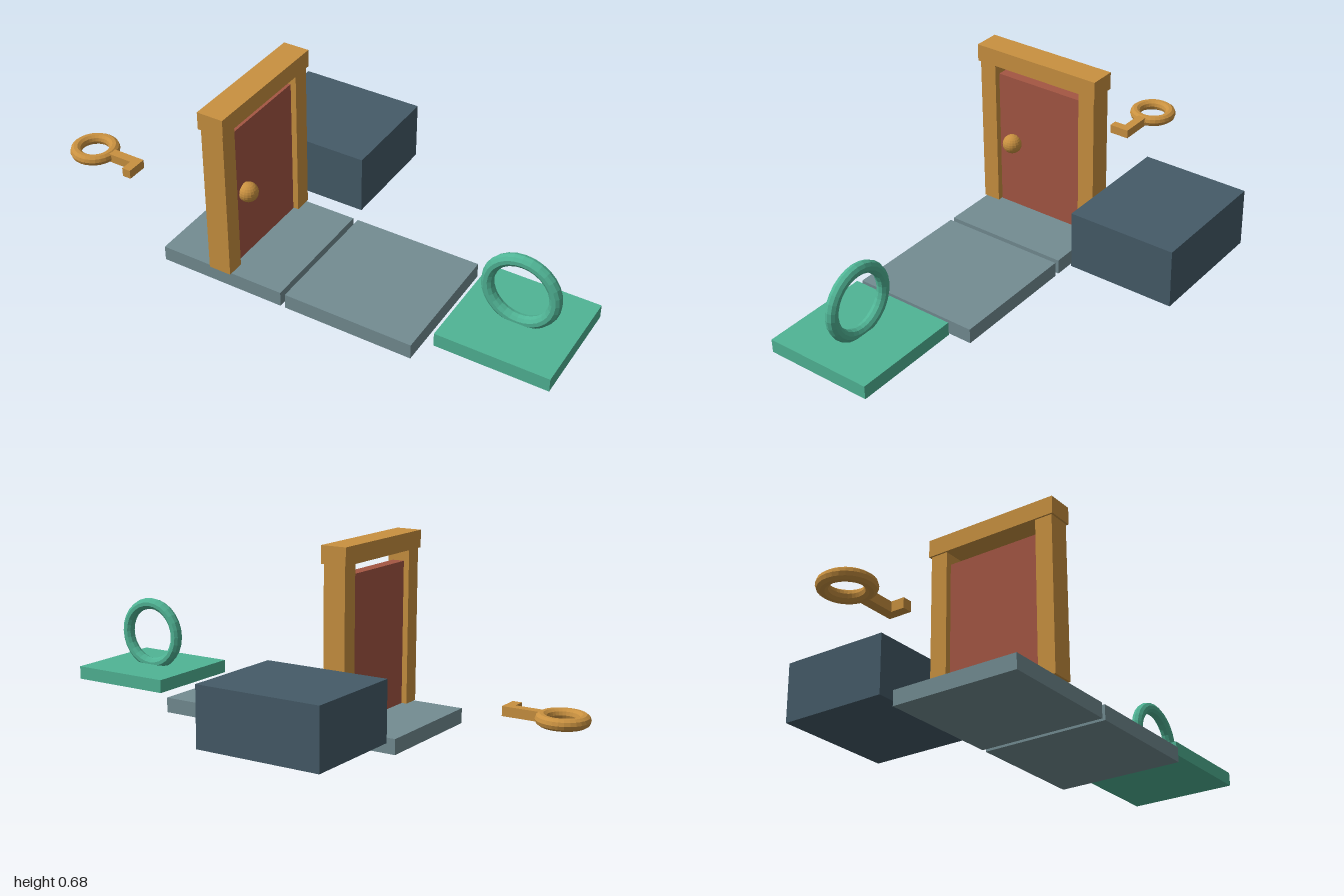
import * as THREE from 'three';

const material = (name, color, flatShading = false) => {
  const m = new THREE.MeshStandardMaterial({ color });
  m.name = name;
  m.flatShading = flatShading;
  return m;
};

export function createModel() {
  const stone = material('paleStone', 0x738c92);
  const slate = material('darkSlate', 0x455b68);
  const ochre = material('ochre', 0xc99140, true);
  const red = material('redDoor', 0xa45643);
  const green = material('green', 0x50b495, true);

  const model = new THREE.Group();
  model.name = 'doorAndKeySet';

  const group = (name) => {
    const g = new THREE.Group();
    g.name = name;
    model.add(g);
    return g;
  };
  const add = (parent, name, geometry, mat, x, y, z) => {
    const mesh = new THREE.Mesh(geometry, mat);
    mesh.name = name;
    mesh.position.set(x, y, z);
    parent.add(mesh);
    return mesh;
  };
  const box = (parent, name, mat, [w, h, d], x, bottom, z) =>
    add(parent, name, new THREE.BoxGeometry(w, h, d), mat, x, bottom + h / 2, z);

  const rowZ = 0.2215;   // shared centre line of the front row
  const floorTop = 0.055;
  const doorX = -0.185;

  // Floor tiles and wall block
  const floor = group('floor');
  for (const x of [doorX, 0.305]) {
    box(floor, 'floorTile', stone, [0.472, floorTop, 0.472], x, 0, rowZ);
  }
  box(model, 'wallBlock', slate, [0.472, 0.216, 0.403], doorX, floorTop, -0.2715);

  // Doorway: two posts, lintel, recessed door and its knob
  const doorway = group('doorway');
  for (const side of [-1, 1]) {
    box(doorway, 'doorPost', ochre, [0.083, 0.56, 0.064], doorX, floorTop, rowZ + side * 0.212);
  }
  box(doorway, 'lintel', ochre, [0.096, 0.063, 0.502], doorX, 0.615, rowZ);
  box(doorway, 'door', red, [0.045, 0.519, 0.355], doorX, floorTop, rowZ);
  add(doorway, 'doorKnob', new THREE.SphereGeometry(0.035, 18, 12), ochre, -0.147, 0.316, 0.335);

  // Goal: green plate with an upright ring sunk into it
  const goal = group('goal');
  box(goal, 'goalPlate', green, [0.397, 0.049, 0.397], 0.8, floorTop, rowZ);
  add(goal, 'goalRing', new THREE.TorusGeometry(0.1175, 0.0215, 10, 28), green, 0.8, 0.222, rowZ);

  // Key lying flat: ring handle, shaft and a single bit at the end
  const key = group('key');
  const keyZ = 0.2175;
  const handle = add(key, 'keyHandle', new THREE.TorusGeometry(0.07, 0.021, 10, 28), ochre, -0.909, 0.145, keyZ);
  handle.rotation.x = Math.PI / 2;
  box(key, 'keyShaft', ochre, [0.14, 0.034, 0.034], -0.77, 0.128, keyZ);
  box(key, 'keyBit', ochre, [0.034, 0.034, 0.08], -0.717, 0.128, 0.2405);

  return model;
}
